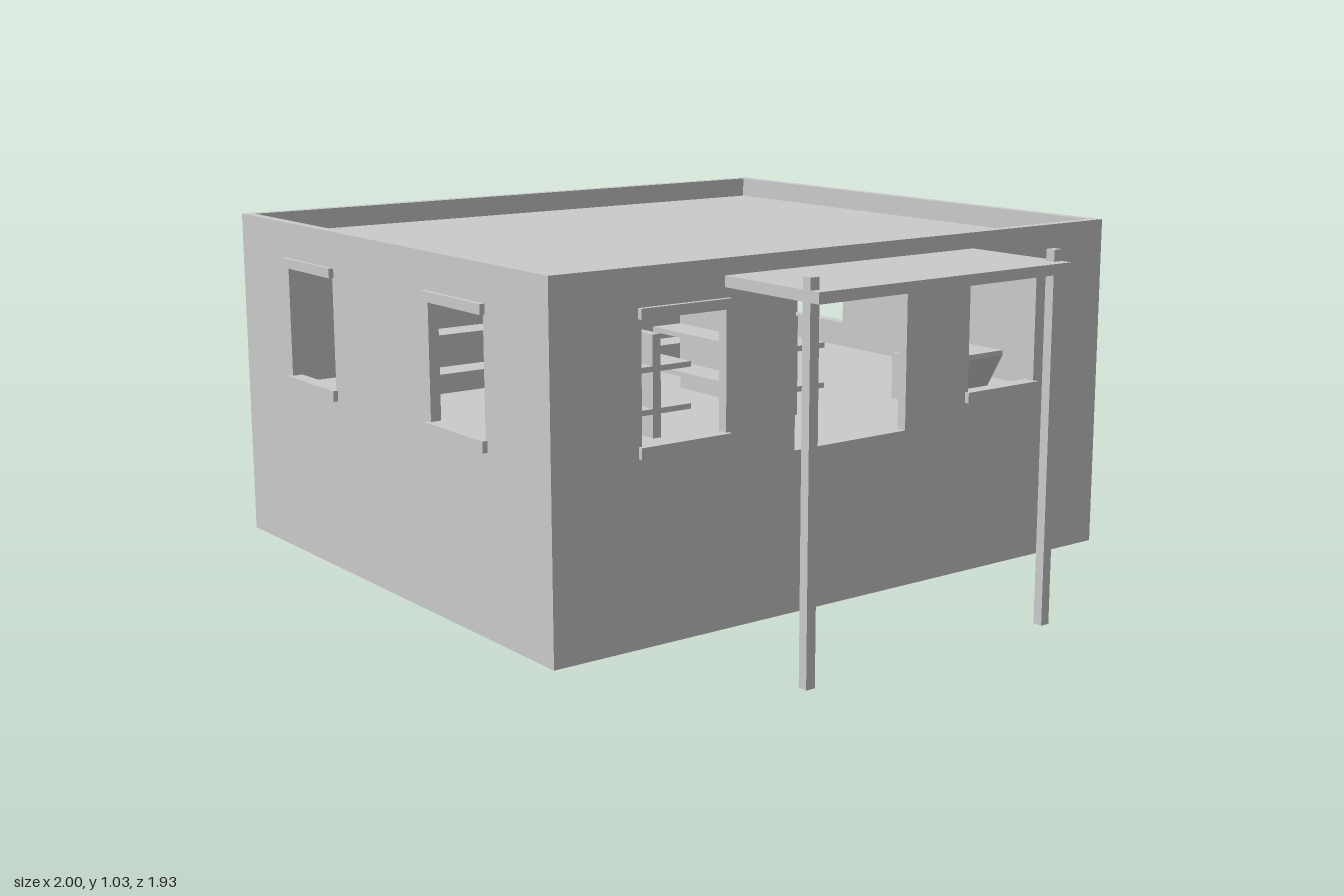
import * as THREE from 'three';

const material = new THREE.MeshStandardMaterial({ color: 0xcccccc, flatShading: true });

function add(parent, name, geometry) {
  const mesh = new THREE.Mesh(geometry, material);
  mesh.name = name;
  parent.add(mesh);
  return mesh;
}

// Box given by its limits on each axis
function box(parent, name, x0, x1, y0, y1, z0, z1) {
  const mesh = add(parent, name, new THREE.BoxGeometry(x1 - x0, y1 - y0, z1 - z0));
  mesh.position.set((x0 + x1) / 2, (y0 + y1) / 2, (z0 + z1) / 2);
  return mesh;
}

const X0 = -1, X1 = 0.645, Z = 0.95, T = 0.03;
const BOTTOM = 0.073, FLOOR = 0.51, TOP = 1.03;
const SILL = 0.588, LINTEL = 0.903;

// Wall slab facing +z, with rectangular openings [u0, u1, y0, y1]
function wall(parent, name, u0, u1, openings) {
  const rect = (path, a, b, c, d) =>
    path.moveTo(a, c).lineTo(b, c).lineTo(b, d).lineTo(a, d).closePath();
  const shape = rect(new THREE.Shape(), u0, u1, BOTTOM, TOP);
  for (const [a, b, c, d] of openings) shape.holes.push(rect(new THREE.Path(), a, b, c, d));
  return add(parent, name, new THREE.ExtrudeGeometry(shape, { depth: T, bevelEnabled: false }));
}

// Ledge and lintel of a window, local to the wall's outer face
function windowTrim(parent, u0, u1) {
  box(parent, 'windowSill', u0 - 0.01, u1 + 0.008, SILL - 0.03, SILL, -T, 0.014);
  box(parent, 'windowLintel', u0 - 0.01, u1 + 0.008, LINTEL, LINTEL + 0.027, -T, 0.014);
}

// Double-sided shelf unit along local x, with a back panel and two shelves
function shelfUnit(parent, length) {
  const unit = new THREE.Group();
  unit.name = 'shelfUnit';
  const h = length / 2;
  box(unit, 'shelfPanel', -h, h, FLOOR, 0.79, -0.013, 0.013);
  for (const [y0, y1] of [[0.575, 0.59], [0.69, 0.705]])
    box(unit, 'shelfBoard', -h, h, y0, y1, -0.113, 0.113);
  parent.add(unit);
  return unit;
}

export function createModel() {
  const model = new THREE.Group();
  model.name = 'shop';

  // Raised floor and sunken roof
  box(model, 'floorBase', X0 + T, X1 - T, BOTTOM, FLOOR, -Z + T, Z - T);
  box(model, 'roof', X0 + T, X1 - T, 0.945, 0.97, -Z + T, Z - T);

  // Walls, each rising past the roof as a parapet
  const win = (a, b) => [a, b, SILL, LINTEL];
  const sides = [
    { name: 'front', u: [X0, X1], windows: [[-0.705, -0.437], [0.085, 0.353]], angle: 0, at: [0, Z] },
    { name: 'back', u: [-X1, -X0], windows: [[0.437, 0.705]], angle: Math.PI, at: [0, -Z] },
    { name: 'left', u: [-Z + T, Z - T], windows: [[-0.685, -0.425], [0.425, 0.685]],
      door: [-0.2, 0.19, FLOOR, 0.923], angle: Math.PI / 2, at: [X1, 0] },
    { name: 'right', u: [-Z + T, Z - T], windows: [], angle: -Math.PI / 2, at: [X0, 0] },
  ];
  for (const s of sides) {
    const side = new THREE.Group();
    side.name = s.name + 'Side';
    const openings = s.windows.map(([a, b]) => win(a, b));
    if (s.door) openings.push(s.door);
    wall(side, s.name + 'Wall', s.u[0], s.u[1], openings).position.z = -T;
    for (const [a, b] of s.windows) windowTrim(side, a, b);
    side.rotation.y = s.angle;
    side.position.set(s.at[0], 0, s.at[1]);
    model.add(side);
  }

  // Entrance canopy on two posts
  box(model, 'canopy', X1, 1, 0.957, 0.986, -0.43, 0.43);
  for (const z of [-0.415, 0.415])
    box(model, 'canopyPost', 0.94, 0.968, 0, 1.017, z - 0.014, z + 0.014);

  // Shelving: one long unit along the right wall, two shorter ones across
  const longUnit = shelfUnit(model, 1.27);
  longUnit.rotation.y = Math.PI / 2;
  longUnit.position.set(-0.563, 0, 0.025);
  for (const z of [-0.078, 0.395]) shelfUnit(model, 0.51).position.set(0.055, 0, z);

  // Counter with a face that leans outward under its top
  const profile = new THREE.Shape();
  profile.moveTo(0.3, FLOOR).lineTo(0.4, FLOOR).lineTo(0.47, 0.63).lineTo(0.47, 0.645).lineTo(0.3, 0.645).closePath();
  const counter = add(model, 'counter', new THREE.ExtrudeGeometry(profile, { depth: 0.28, bevelEnabled: false }));
  counter.position.z = -0.74;

  return model;
}
